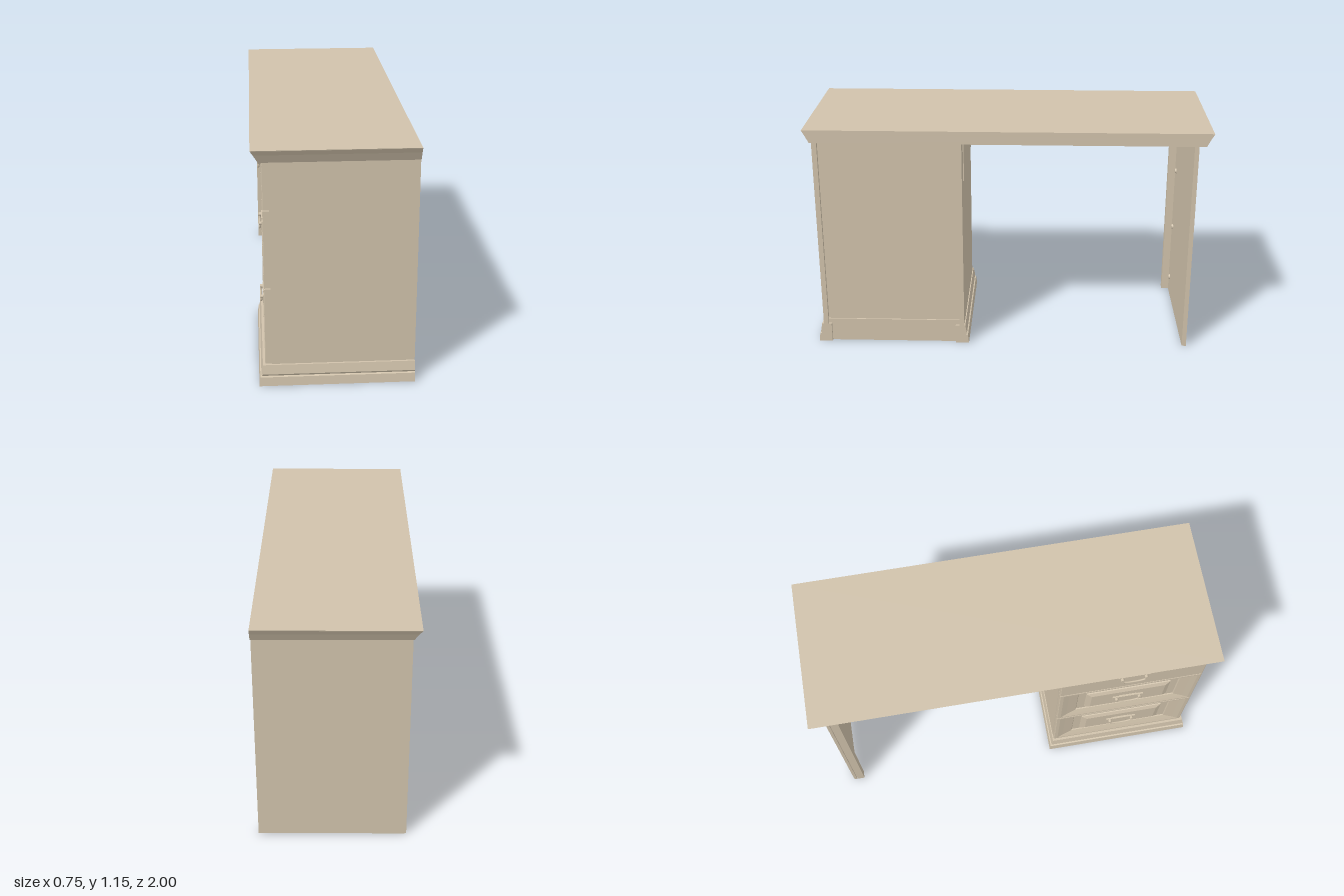
import * as THREE from 'three';

const wood = new THREE.MeshStandardMaterial({ color: 0xd0c2ab });
wood.name = 'beige wood';

const BACK = 0.375; // flat back edge of the desk (+x); the drawers face -x

function fromTriangles(points) {
  const g = new THREE.BufferGeometry();
  g.setAttribute('position', new THREE.Float32BufferAttribute(points.flat(), 3));
  g.computeVertexNormals();
  return g;
}

function add(parent, name, geometry, x = 0, y = 0, z = 0) {
  const m = new THREE.Mesh(geometry, wood);
  m.name = name;
  m.position.set(x, y, z);
  parent.add(m);
  return m;
}

// Box given by its limits on each axis
function box(parent, name, x0, x1, y0, y1, z0, z1) {
  return add(parent, name, new THREE.BoxGeometry(x1 - x0, y1 - y0, z1 - z0),
    (x0 + x1) / 2, (y0 + y1) / 2, (z0 + z1) / 2);
}

// Flat faces between consecutive four-point rings
function ringFaces(rings, sides) {
  const t = [];
  for (let r = 0; r < rings.length - 1; r++) {
    const a = rings[r], b = rings[r + 1];
    for (let i = 0; i < sides; i++) {
      const j = (i + 1) % 4;
      t.push(a[i], a[j], b[j], a[i], b[j], b[i]);
    }
  }
  return t;
}

// Solid through rectangular rings, closed at both ends
function loft(rings) {
  const a = rings[0], b = rings[rings.length - 1];
  return fromTriangles([...ringFaces(rings, 4),
    a[0], a[2], a[1], a[0], a[3], a[2], b[0], b[1], b[2], b[0], b[2], b[3]]);
}

// Moulding swept along three sides with mitred corners, profile = [out, y]
function mouldingU(profile, xFront, zA, zB) {
  const ring = ([o, y]) => [[BACK, y, zA - o], [xFront - o, y, zA - o], [xFront - o, y, zB + o], [BACK, y, zB + o]];
  const rings = [...profile, profile[0]].map(ring);
  const tris = ringFaces(rings, 3);
  const faces = THREE.ShapeUtils.triangulateShape(profile.map(p => new THREE.Vector2(...p)), []);
  for (const [i, j, k] of faces) {
    tris.push(rings[i][0], rings[j][0], rings[k][0]);
    tris.push(rings[i][3], rings[k][3], rings[j][3]);
  }
  return fromTriangles(tris);
}

// Drawer front from steps [x, inset along z, inset along y]
function drawerFront(steps, halfZ, halfY) {
  return loft(steps.map(([x, iz, iy]) => {
    const z = halfZ - iz, y = halfY - iy;
    return [[x, y, z], [x, y, -z], [x, -y, -z], [x, -y, z]];
  }));
}

function handle(plateX) {
  const g = new THREE.Group();
  g.name = 'drawerHandle';
  box(g, 'handlePlate', -0.327, plateX, -0.025, 0.025, -0.08, 0.08);
  box(g, 'handlePlateCentre', -0.329, plateX, -0.032, 0.032, -0.045, 0.045);
  const curve = new THREE.CatmullRomCurve3([
    [-0.333, 0.012, -0.06], [-0.336, -0.01, -0.055], [-0.337, -0.018, -0.03],
    [-0.337, -0.02, 0], [-0.337, -0.018, 0.03], [-0.336, -0.01, 0.055], [-0.333, 0.012, 0.06],
  ].map(p => new THREE.Vector3(...p)));
  add(g, 'handleBail', new THREE.TubeGeometry(curve, 24, 0.005, 8));
  for (const s of [-1, 1]) {
    const stud = add(g, 'handleStud', new THREE.CylinderGeometry(0.009, 0.009, 0.014, 12), -0.333, 0.012, s * 0.06);
    stud.rotation.z = Math.PI / 2;
  }
  return g;
}

export function createModel() {
  const desk = new THREE.Group();
  desk.name = 'desk';

  // Table top: sloped moulding below, slab above, flush at the back
  const topRing = ([y, o]) => {
    const x = -0.375 + o, z = 1 - o;
    return [[x, y, z], [BACK, y, z], [BACK, y, -z], [x, y, -z]];
  };
  add(desk, 'topMoulding', loft([[1.09, 0.035], [1.13, 0.014]].map(topRing)));
  add(desk, 'tableTop', loft([[1.13, 0.014], [1.152, 0.001], [1.155, 0]].map(topRing)));

  // Cabinet carcass
  const cabinet = new THREE.Group();
  cabinet.name = 'drawerCabinet';
  desk.add(cabinet);
  box(cabinet, 'outerSide', -0.295, BACK, 0.1, 1.09, 0.93, 0.955);
  box(cabinet, 'innerSide', -0.295, BACK, 0.1, 1.09, 0.222, 0.247);
  box(cabinet, 'backPanel', 0.345, 0.357, 0.1, 1.09, 0.247, 0.93);
  box(cabinet, 'backRail', 0.345, 0.364, 0.1, 0.125, 0.247, 0.93);
  box(cabinet, 'floorPanel', -0.295, 0.345, 0.085, 0.105, 0.247, 0.93);
  box(cabinet, 'kneeSidePlate', -0.295, 0.28, 0.865, 1.09, 0.218, 0.222);

  // Plinth: grooved moulding on three sides, recessed board at the back
  const plinth = [[0.023, 0], [0.018, 0.043], [0.008, 0.046], [0.013, 0.055], [0.005, 0.1], [-0.045, 0.1], [-0.045, 0]];
  add(cabinet, 'plinthMoulding', mouldingU(plinth, -0.331, 0.222, 0.96));
  box(cabinet, 'plinthBack', 0.335, 0.36, 0, 0.1, 0.26, 0.92);

  // Drawers: plain top one, two with sunk frames and raised fields
  const plain = [[-0.295, 0, 0], [-0.323, 0, 0], [-0.325, 0.003, 0.003]];
  const panelled = [...plain, [-0.325, 0.02, 0.014], [-0.318, 0.05, 0.034], [-0.308, 0.1, 0.06],
    [-0.303, 0.104, 0.064], [-0.303, 0.145, 0.086], [-0.309, 0.147, 0.088], [-0.319, 0.172, 0.11]];
  const rows = [[0.103, 0.48, panelled, -0.316], [0.485, 0.86, panelled, -0.316], [0.865, 1.088, plain, -0.324]];
  for (const [y0, y1, steps, plateX] of rows) {
    const y = (y0 + y1) / 2, z = 0.5885;
    add(cabinet, 'drawerFront', drawerFront(steps, 0.3645, (y1 - y0) / 2), 0, y, z);
    const pull = handle(plateX);
    pull.position.set(0, y, z);
    cabinet.add(pull);
  }

  // Supporting leg panel at the far end
  const leg = new THREE.Group();
  leg.name = 'supportLeg';
  desk.add(leg);
  box(leg, 'legPanel', -0.332, BACK, 0, 1.09, -0.93, -0.908);
  box(leg, 'legPost', -0.34, -0.3, 0, 1.09, -0.908, -0.87);
  box(leg, 'legEdgeStrip', -0.34, -0.332, 0, 1.09, -0.926, -0.912);
  for (const y of [0.1, 0.41, 0.74]) {
    const cap = add(leg, 'screwCap', new THREE.CylinderGeometry(0.011, 0.014, 0.008, 16), -0.25, y, -0.904);
    cap.rotation.x = Math.PI / 2;
  }
  return desk;
}
